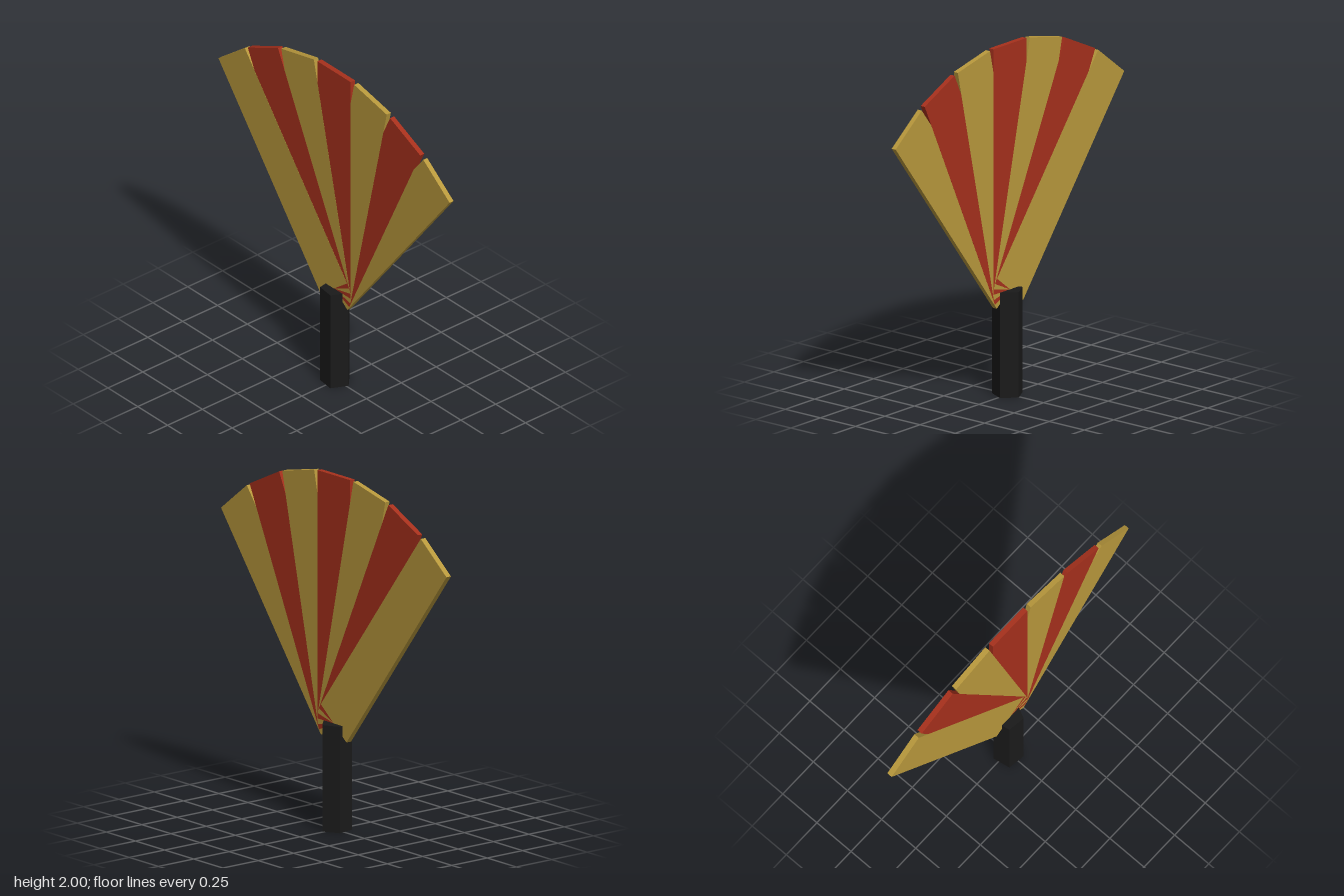
import * as THREE from 'three';

export function createModel() {
  const group = new THREE.Group();
  group.name = 'handFan';

  const material = (name, color) => {
    const m = new THREE.MeshStandardMaterial({ color });
    m.name = name;
    return m;
  };
  const gold = material('gold', 0xb8983c);
  const red = material('red', 0xa6301c);
  const black = material('black', 0x1a1a1a);

  const handleHeight = 0.6;
  const centreZ = 0.004;

  // Five-sided grip
  const grip = new THREE.CylinderGeometry(0.0875, 0.0875, handleHeight, 5).toNonIndexed();
  grip.computeVertexNormals();
  const handle = new THREE.Mesh(grip, black);
  handle.name = 'handle';
  handle.position.set(0, handleHeight / 2, centreZ);
  handle.rotation.y = 0.5;
  group.add(handle);

  // Seven blades fanned about the top of the grip, each a hair thinner than
  // the one before it so that every blade cleanly overlaps the next
  const bladeLength = 1.4;
  for (let i = 0; i < 7; i++) {
    const isGold = i % 2 === 0;
    const geometry = new THREE.BoxGeometry(0.28, bladeLength, 0.032 - i * 0.0006);
    geometry.translate(0, bladeLength / 2, 0);
    const blade = new THREE.Mesh(geometry, isGold ? gold : red);
    blade.name = `${isGold ? 'gold' : 'red'}Blade${i + 1}`;
    blade.position.set(0, handleHeight, centreZ);
    blade.rotation.z = (3 - i) * 0.22;
    group.add(blade);
  }

  return group;
}
